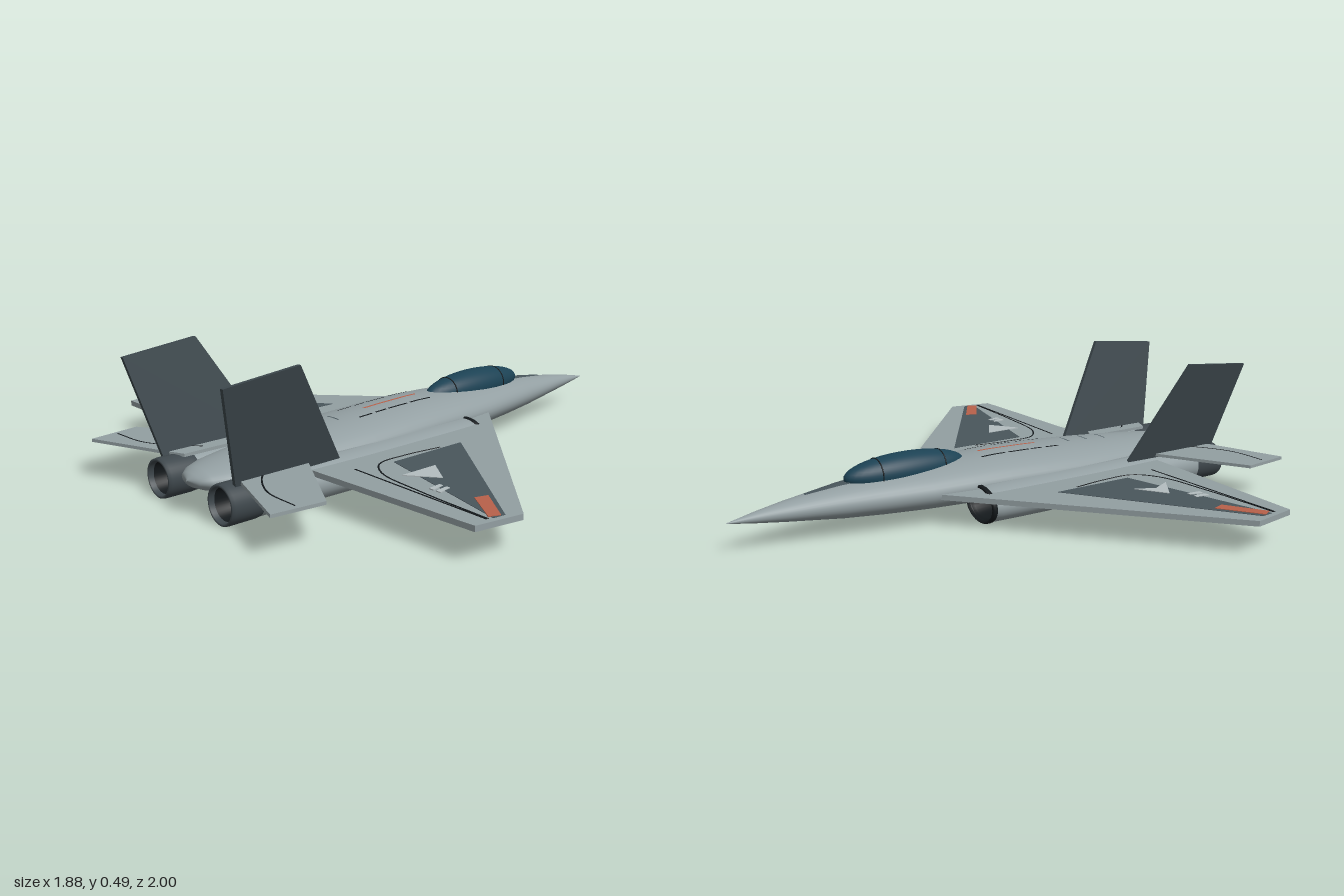
import * as THREE from 'three';

const paint = (color, roughness = 0.6) =>
  new THREE.MeshStandardMaterial({ color, roughness, side: THREE.DoubleSide });
const GREY = paint(0x939fa2), DARK = paint(0x49565c), FIN = paint(0x3c474c), BLACK = paint(0x14191c),
  NOZZLE = paint(0x3e474c), GLASS = paint(0x1c4254), ORANGE = paint(0xb8614a), LIGHT = paint(0xb4bec0);

// Fuselage stations: z, half width, top y, bottom y
const STATIONS = [
  [-1, 0.001, 0.117, 0.115], [-0.9, 0.022, 0.138, 0.1], [-0.8, 0.043, 0.155, 0.087], [-0.6, 0.086, 0.181, 0.065],
  [-0.45, 0.117, 0.193, 0.055], [-0.3, 0.144, 0.201, 0.048], [-0.15, 0.162, 0.208, 0.044], [0, 0.173, 0.211, 0.043],
  [0.15, 0.179, 0.207, 0.043], [0.3, 0.179, 0.2, 0.044], [0.45, 0.17, 0.191, 0.046], [0.6, 0.152, 0.18, 0.05],
  [0.75, 0.132, 0.167, 0.057], [0.84, 0.113, 0.157, 0.064], [0.9, 0.083, 0.146, 0.075], [0.93, 0.052, 0.135, 0.088],
  [0.945, 0.002, 0.115, 0.11],
];

// Height of the fuselage's upper skin at (x, z)
function skinY(x, z) {
  let i = 0;
  while (i < STATIONS.length - 2 && STATIONS[i + 1][0] < z) i++;
  const a = STATIONS[i], b = STATIONS[i + 1], t = (z - a[0]) / (b[0] - a[0]);
  const [w, top, bot] = [1, 2, 3].map(k => a[k] + (b[k] - a[k]) * t);
  return (top + bot) / 2 + (top - bot) / 2 * Math.sqrt(Math.max(0, 1 - (x / w) ** 2));
}

function fuselageGeometry(n = 40) {
  const pos = [], idx = [];
  for (const [z, w, top, bot] of STATIONS)
    for (let j = 0; j < n; j++) {
      const a = j / n * Math.PI * 2;
      pos.push(w * Math.cos(a), (top + bot) / 2 + (top - bot) / 2 * Math.sin(a), z);
    }
  for (let i = 0; i < STATIONS.length - 1; i++)
    for (let j = 0; j < n; j++) {
      const k = (j + 1) % n, a = i * n + j, b = i * n + k, c = a + n, d = b + n;
      idx.push(a, b, c, b, d, c);
    }
  const g = new THREE.BufferGeometry();
  g.setAttribute('position', new THREE.Float32BufferAttribute(pos, 3));
  g.setIndex(idx);
  g.computeVertexNormals();
  return g;
}

// Horizontal plate from an [x, z] outline, its underside at y
function plateGeometry(points, side, y, depth) {
  const shape = new THREE.Shape(points.map(([x, z]) => new THREE.Vector2(x * side, -z)));
  return new THREE.ExtrudeGeometry(shape, { depth, bevelEnabled: false })
    .rotateX(-Math.PI / 2).translate(0, y, 0);
}

// Thin painted line through [x, z] points at height y
function lineGeometry(points, side, y, r = 0.003) {
  const curve = new THREE.CatmullRomCurve3(points.map(([x, z]) => new THREE.Vector3(x * side, y, z)));
  return new THREE.TubeGeometry(curve, points.length * 8, r, 5).translate(0, -y, 0).scale(1, 0.5, 1).translate(0, y, 0);
}

// Patch laid on the fuselage skin; taper narrows its forward end
function patchGeometry(x, z, w, l, taper = 1) {
  const g = new THREE.PlaneGeometry(w, l, 4, 10).rotateX(-Math.PI / 2);
  const p = g.attributes.position;
  for (let i = 0; i < p.count; i++) {
    const t = p.getZ(i) / l + 0.5;
    const px = x + p.getX(i) * (taper + (1 - taper) * t), pz = z + p.getZ(i);
    p.setXYZ(i, px, skinY(px, pz) + 0.003, pz);
  }
  g.computeVertexNormals();
  return g;
}

// Body of revolution along z from [radius, z] points, widened toward the intake
function podGeometry(profile, side) {
  const g = new THREE.LatheGeometry(profile.map(([r, z]) => new THREE.Vector2(r, z)), 36).rotateX(Math.PI / 2);
  const p = g.attributes.position;
  for (let i = 0; i < p.count; i++) {
    const wide = 1.38 - 0.38 * THREE.MathUtils.smoothstep(p.getZ(i), 0.3, 0.85);
    p.setXYZ(i, side * 0.173 + p.getX(i) * wide, 0.075 - p.getY(i), p.getZ(i));
  }
  g.computeVertexNormals();
  return g;
}

// Upright fin leaning outward
function finGeometry(side, t = 0.014) {
  const outline = [[0.48, 0.11], [0.71, 0.495], [0.99, 0.468], [0.9, 0.11]];
  const shape = new THREE.Shape(outline.map(([z, y]) => new THREE.Vector2(-z, y)));
  const g = new THREE.ExtrudeGeometry(shape, { depth: t, bevelEnabled: false }).rotateY(Math.PI / 2);
  const p = g.attributes.position;
  for (let i = 0; i < p.count; i++)
    p.setX(i, p.getX(i) - t / 2 + side * (0.2 + (p.getY(i) - 0.135) * 0.225));
  g.computeVertexNormals();
  return g;
}

export function createModel() {
  const model = new THREE.Group();
  model.name = 'jetFighter';
  const add = (name, geometry, material, parent = model) => {
    const mesh = new THREE.Mesh(geometry, material);
    mesh.name = name;
    parent.add(mesh);
    return mesh;
  };

  add('fuselage', fuselageGeometry(), GREY);

  // Canopy and its frames
  add('canopy', new THREE.SphereGeometry(1, 40, 24).scale(0.067, 0.062, 0.237).translate(0, 0.194, -0.34), GLASS);
  for (const z of [-0.455, -0.205]) {
    const s = Math.sqrt(1 - ((z + 0.34) / 0.237) ** 2);
    add('canopyFrame', new THREE.TorusGeometry(0.067 * s, 0.0025, 6, 40)
      .scale(1, 0.925, 1).translate(0, 0.194, z), BLACK);
  }

  // Markings along the spine
  add('antiGlarePanel', patchGeometry(0, -0.645, 0.05, 0.16, 0.35), DARK);
  add('spineStripe', patchGeometry(0, 0.085, 0.01, 0.25), ORANGE);
  for (const z of [0.35, 0.435, 0.52]) add('spinePanelLine', patchGeometry(0, z, 0.06, 0.006), DARK);
  for (const x of [-0.058, 0.058])
    for (const [z, l] of [[-0.01, 0.1], [0.1, 0.09], [0.18, 0.05], [0.25, 0.06]])
      add('spineDash', patchGeometry(x, z, 0.007, l), BLACK);

  for (const side of [-1, 1]) {
    const half = new THREE.Group();
    half.name = side > 0 ? 'leftSide' : 'rightSide';
    model.add(half);

    // Wing with painted panel and lines
    add('wing', plateGeometry([[0.1, -0.32], [0.145, -0.28], [0.94, 0.43], [0.91, 0.6], [0.2, 0.625], [0.1, 0.625]],
      side, 0.108, 0.019), GREY, half);
    const decals = [
      ['wingPanel', [[0.34, 0.07], [0.34, 0.38], [0.905, 0.52], [0.91, 0.475]], DARK, 0.002],
      ['wingTipFlash', [[0.77, 0.395], [0.755, 0.44], [0.89, 0.525], [0.908, 0.49]], ORANGE, 0.004],
      ['wingChevron', side < 0 ? [[0.565, 0.38], [0.46, 0.31], [0.495, 0.38], [0.46, 0.455]]
        : [[0.565, 0.38], [0.46, 0.31], [0.46, 0.455]], LIGHT, 0.004],
      ['wingBar', [[0.6, 0.43], [0.615, 0.43], [0.625, 0.48], [0.605, 0.48]], LIGHT, 0.004],
      ['wingBar', [[0.63, 0.43], [0.645, 0.43], [0.655, 0.48], [0.635, 0.48]], LIGHT, 0.004],
    ];
    for (const [name, outline, material, h] of decals)
      add(name, plateGeometry(outline, side, 0.1265, h), material, half);
    add('wingCurveLine', lineGeometry([[0.33, 0.16], [0.313, 0.3], [0.32, 0.42], [0.4, 0.485], [0.6, 0.515], [0.9, 0.535]],
      side, 0.128), BLACK, half);
    add('flapLine', lineGeometry([[0.31, 0.52], [0.6, 0.53], [0.9, 0.54]], side, 0.128), BLACK, half);

    // Tailplane
    add('tailplane', plateGeometry([[0.14, 0.585], [0.52, 0.81], [0.497, 0.995], [0.2, 0.885], [0.14, 0.86]],
      side, 0.138, 0.011), GREY, half);
    add('tailplaneLine', lineGeometry([[0.49, 0.9], [0.35, 0.89], [0.25, 0.84], [0.17, 0.77]], side, 0.149),
      BLACK, half);

    add('fin', finGeometry(side), FIN, half);

    // Engine: nacelle, intake and nozzle
    const shell = [[0.061, -0.135], [0.065, -0.1]];
    for (let z = 0; z <= 0.81; z += 0.1) shell.push([0.066, z]);
    add('nacelle', podGeometry([...shell, [0.066, 0.83]], side), GREY, half);
    add('intakeLip', podGeometry([[0.052, -0.12], [0.06, -0.145], [0.067, -0.14], [0.067, -0.128], [0.062, -0.128]], side),
      BLACK, half);
    add('intakeDuct', podGeometry([[0.056, -0.135], [0.05, -0.06], [0.0001, -0.06]], side), BLACK, half);
    add('nozzle', podGeometry([[0.066, 0.82], [0.068, 0.84], [0.068, 0.93], [0.066, 0.942], [0.058, 0.942], [0.055, 0.9]],
      side), NOZZLE, half);
    add('exhaust', podGeometry([[0.055, 0.925], [0.047, 0.83], [0.0001, 0.83]], side), BLACK, half);
  }
  return model;
}
